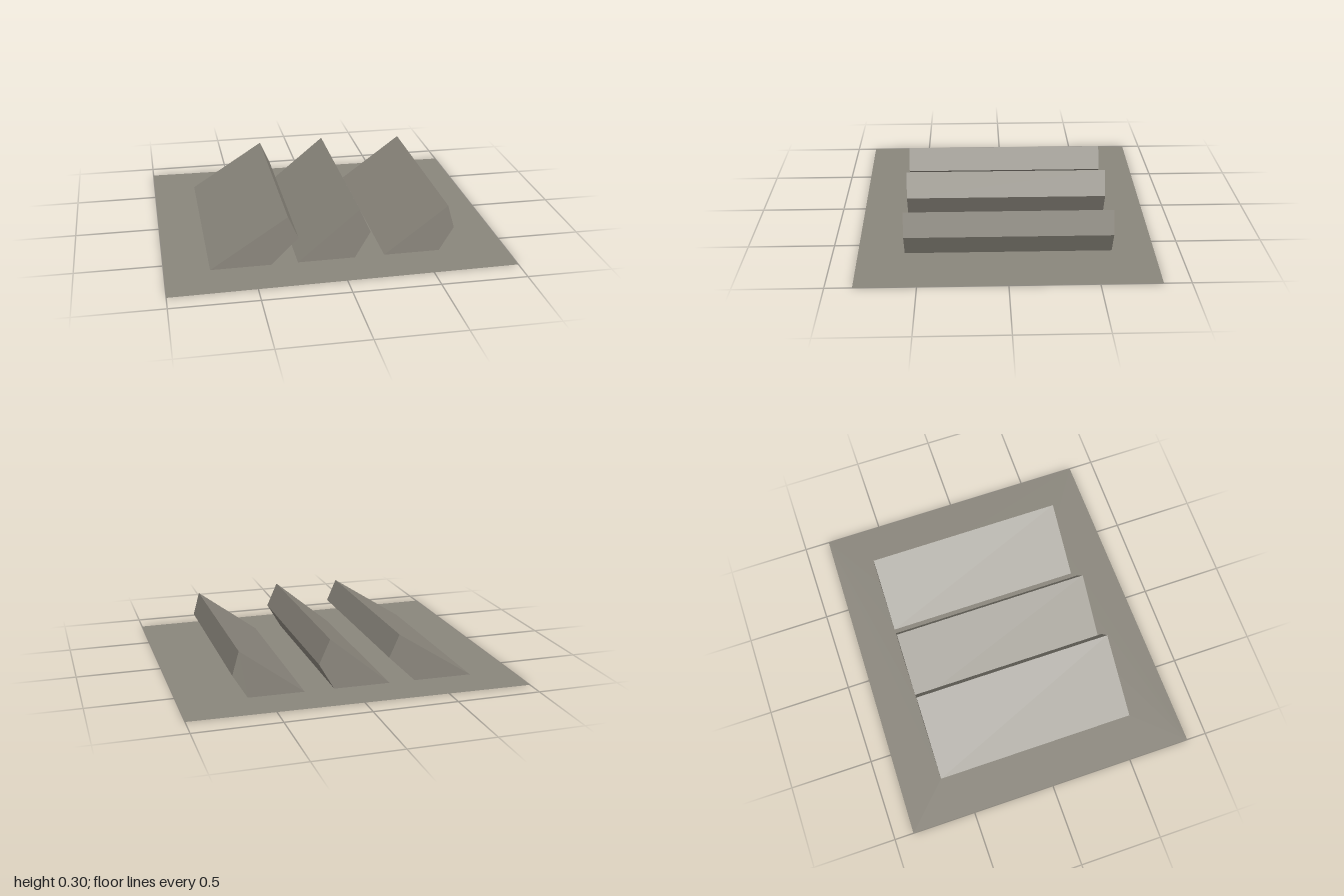
import * as THREE from 'three';

// The ends of the ridges taper slightly along x
const frontZ = x => 0.592 - 0.0105 * x;
const backZ = x => -0.617 + 0.0147 * x;

// Cross-sections [x, y]: foot left, foot right, overhang, crest
const profiles = [
  [[-0.74, 0], [-0.39, 0], [-0.23, 0.155], [-0.29, 0.29]],
  [[-0.235, 0], [0.1, 0], [0.19, 0.155], [0.125, 0.3]],
  [[0.275, 0], [0.605, 0], [0.69, 0.14], [0.65, 0.28]],
];

// Hollow ridge, open underneath
function ridgeGeometry(profile) {
  const front = profile.map(([x, y]) => [x, y, frontZ(x)]);
  const back = profile.map(([x, y]) => [x, y, backZ(x)]);
  const pos = [];
  const quad = (a, b, c, d) => pos.push(...a, ...b, ...c, ...a, ...c, ...d);
  quad(...front);
  quad(back[3], back[2], back[1], back[0]);
  for (let i = 1; i < 4; i++) {
    const j = (i + 1) % 4;
    quad(front[i], back[i], back[j], front[j]);
  }
  const geometry = new THREE.BufferGeometry();
  geometry.setAttribute('position', new THREE.Float32BufferAttribute(pos, 3));
  geometry.computeVertexNormals();
  return geometry;
}

// Flat sheet with an opening below each ridge
function groundGeometry() {
  const outline = points => points.map(([x, z]) => new THREE.Vector2(x, -z));
  const shape = new THREE.Shape(outline([[-1, 0.88], [1, 0.848], [1, -0.845], [-1, -0.885]]));
  for (const [[x0], [x1]] of profiles) {
    shape.holes.push(new THREE.Path(outline([
      [x0, frontZ(x0)], [x0, backZ(x0)], [x1, backZ(x1)], [x1, frontZ(x1)],
    ])));
  }
  return new THREE.ShapeGeometry(shape).rotateX(-Math.PI / 2);
}

export function createModel() {
  const group = new THREE.Group();
  group.name = 'ridgedGround';
  const stone = new THREE.MeshStandardMaterial({ color: 0x8a867c, flatShading: true, side: THREE.DoubleSide });
  stone.name = 'greyStone';

  const ground = new THREE.Mesh(groundGeometry(), stone);
  ground.name = 'groundSheet';
  group.add(ground);

  profiles.forEach((profile, i) => {
    const ridge = new THREE.Mesh(ridgeGeometry(profile), stone);
    ridge.name = `ridge${i + 1}`;
    group.add(ridge);
  });
  return group;
}
